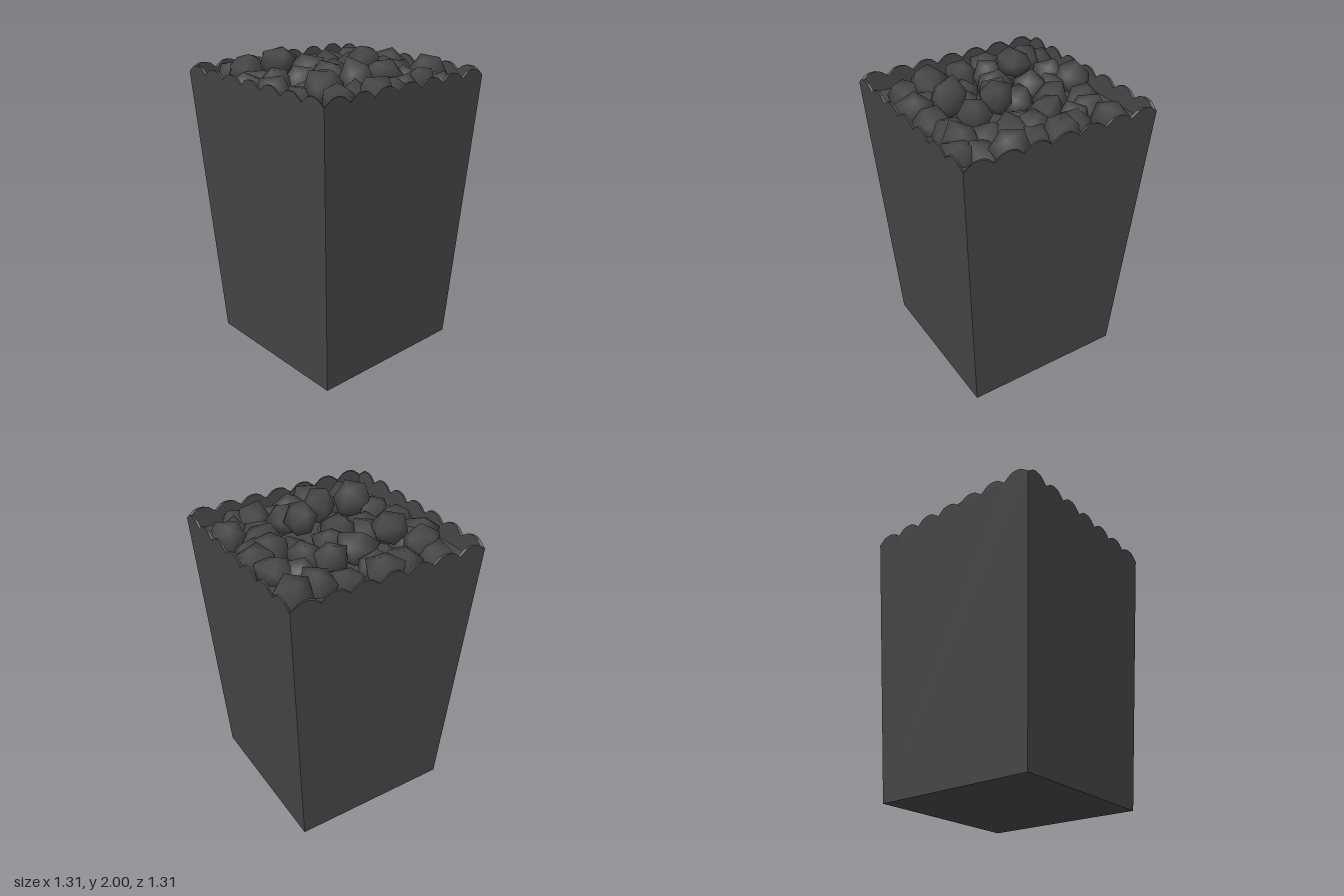
import * as THREE from 'three';
import { mergeVertices } from 'three/addons/utils/BufferGeometryUtils.js';

const BASE = 0.543, RIM = 0.65, VALLEY = 1.825, PEAK = 1.87, WALL = 0.014;
const SCALLOPS = 7, KERNEL_COUNT = 43, FILL_LEVEL = 1.74;
const SLOPE = (RIM - BASE) / VALLEY;

// Most prominent kernels of the heap: x, z, height of the top
const TOP_KERNELS = [
  [0.13, -0.13, 2.0], [-0.24, 0.24, 1.98], [0.31, 0.11, 1.98], [0.31, 0.36, 1.94],
  [-0.4, 0.39, 1.94], [-0.53, 0.02, 1.92], [-0.23, 0.05, 1.92], [-0.25, -0.16, 1.92],
  [-0.05, -0.52, 1.91], [0.29, -0.53, 1.91], [0.45, -0.29, 1.9], [0.17, -0.38, 1.9],
  [-0.43, -0.51, 1.88], [0.52, 0.14, 1.9], [-0.21, 0.52, 1.87], [0.01, 0.49, 1.87],
  [-0.48, 0.21, 1.88], [0.52, -0.37, 1.86], [0.49, -0.01, 1.88], [0.03, 0.07, 1.91],
  [-0.07, -0.05, 1.89], [-0.13, -0.26, 1.9], [-0.12, 0.37, 1.88], [0.28, -0.15, 1.93],
  [-0.39, -0.34, 1.87], [-0.52, 0.39, 1.87],
];

function seeded(seed) {
  return () => {
    seed = (seed * 16807) % 2147483647;
    return seed / 2147483647;
  };
}

// Tapered panel with a scalloped top, leaning outward, mitred at the corners
function wallGeometry() {
  const shape = new THREE.Shape();
  shape.moveTo(-BASE, 0);
  shape.lineTo(BASE, 0);
  const step = (2 * RIM) / SCALLOPS;
  const profile = [[0, 0], [0.25, 0.8], [0.4, 1], [0.6, 1], [0.75, 0.8]];
  for (let i = 0; i < SCALLOPS; i++) {
    for (const [u, v] of profile) {
      shape.lineTo(RIM - (i + u) * step, VALLEY + v * (PEAK - VALLEY));
    }
  }
  shape.lineTo(-RIM, VALLEY);
  shape.closePath();
  const geo = new THREE.ExtrudeGeometry(shape, { depth: WALL, bevelEnabled: false });
  const p = geo.attributes.position;
  for (let i = 0; i < p.count; i++) {
    const half = BASE + p.getY(i) * SLOPE;
    const inset = WALL - p.getZ(i);
    p.setX(i, p.getX(i) * (1 - inset / half));
    p.setZ(i, half - inset);
  }
  geo.computeVertexNormals();
  return geo;
}

// Lumpy, smooth-shaded low-poly kernel
function kernelGeometry(radius, rand) {
  let geo = new THREE.IcosahedronGeometry(radius, 0);
  geo.deleteAttribute('uv');
  geo.deleteAttribute('normal');
  geo = mergeVertices(geo, 1e-4);
  const p = geo.attributes.position;
  for (let i = 0; i < p.count; i++) {
    const s = 0.88 + rand() * 0.28;
    p.setXYZ(i, p.getX(i) * s, p.getY(i) * s, p.getZ(i) * s);
  }
  geo.scale(1.08, 0.86 + rand() * 0.14, 1);
  geo.rotateX(rand() * 6.28).rotateY(rand() * 6.28).rotateZ(rand() * 6.28);
  geo.computeVertexNormals();
  geo.computeBoundingBox();
  return geo;
}

// Prominent kernels, then lower ones placed in the widest remaining gaps
function heapSpots(rand) {
  const spots = [...TOP_KERNELS];
  while (spots.length < KERNEL_COUNT) {
    let best, bestGap = -1;
    for (let i = 0; i < 60; i++) {
      const x = rand() - 0.5, z = rand() - 0.5;
      if (Math.abs(x) + Math.abs(z) > 0.87) continue;
      const gap = Math.min(...spots.map(([sx, sz]) => Math.hypot(x - sx, z - sz)));
      if (gap > bestGap) {
        bestGap = gap;
        best = [x, z, 1.84 + rand() * 0.05];
      }
    }
    spots.push(best);
  }
  return spots;
}

export function createModel() {
  const model = new THREE.Group();
  model.name = 'popcornBox';
  const material = new THREE.MeshStandardMaterial({ color: 0x464646 });

  // Four scalloped walls
  const wall = wallGeometry();
  ['front', 'left', 'back', 'right'].forEach((side, i) => {
    const mesh = new THREE.Mesh(wall, material);
    mesh.name = side + 'Wall';
    mesh.rotation.y = (i * Math.PI) / 2;
    model.add(mesh);
  });

  // Bottom of the box
  const bottomSize = 2 * BASE - WALL;
  const bottom = new THREE.Mesh(new THREE.BoxGeometry(bottomSize, WALL, bottomSize), material);
  bottom.name = 'bottom';
  bottom.position.y = WALL / 2;
  model.add(bottom);

  // Flat filling under the loose kernels
  const fillSize = 2 * (BASE + FILL_LEVEL * SLOPE) - WALL;
  const filling = new THREE.Mesh(new THREE.PlaneGeometry(fillSize, fillSize), material);
  filling.name = 'filling';
  filling.rotation.x = -Math.PI / 2;
  filling.position.y = FILL_LEVEL;
  model.add(filling);

  // Heap of popcorn, each lump centred on its spot and hung from its top height
  const heap = new THREE.Group();
  heap.name = 'popcorn';
  const rand = seeded(4217);
  for (const [x, z, top] of heapSpots(rand)) {
    const geo = kernelGeometry(0.11 + rand() * 0.02, rand);
    const kernel = new THREE.Mesh(geo, material);
    kernel.name = 'kernel';
    const { min, max } = geo.boundingBox;
    kernel.position.set(x - (min.x + max.x) / 2, top - max.y, z - (min.z + max.z) / 2);
    heap.add(kernel);
  }
  model.add(heap);
  return model;
}
